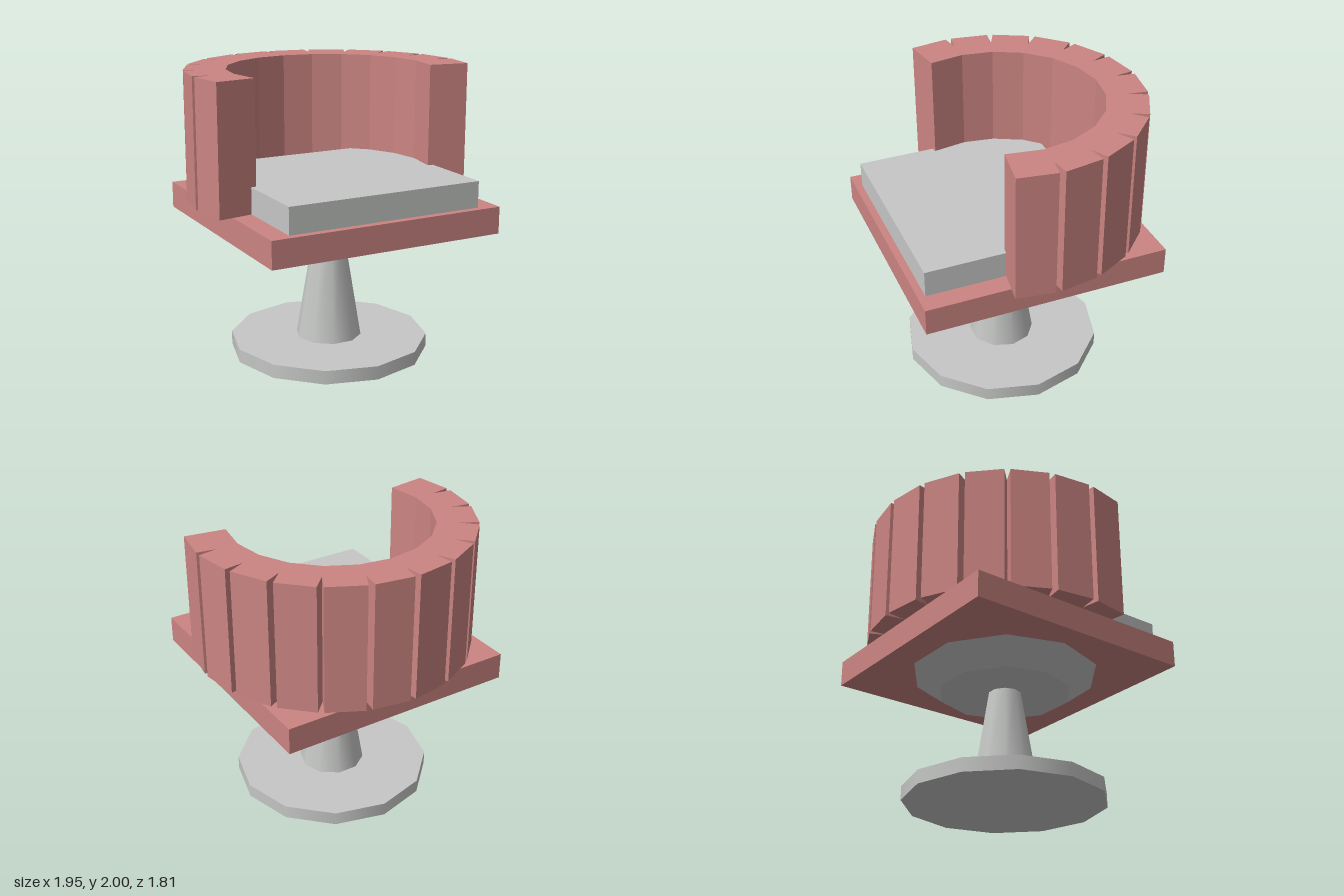
import * as THREE from 'three';

const AXIS_Z = 0.067; // centre line of the pedestal and the backrest ring

export function createModel() {
  const group = new THREE.Group();
  const red = new THREE.MeshStandardMaterial({ color: 0xcb8582 });
  red.name = 'dusty red upholstery';
  const grey = new THREE.MeshStandardMaterial({ color: 0xc5c7c5 });
  grey.name = 'light grey';

  const add = (name, geometry, material, x, y, z, parent = group) => {
    const mesh = new THREE.Mesh(geometry, material);
    mesh.name = name;
    mesh.position.set(x, y, z);
    parent.add(mesh);
    return mesh;
  };

  // Tapered round part between two heights, with corners on the x axis
  const round = (name, rTop, rBottom, y0, y1, sides) => {
    const geometry = new THREE.CylinderGeometry(rTop, rBottom, y1 - y0, sides);
    geometry.rotateY(Math.PI / 2);
    return add(name, geometry, grey, 0, (y0 + y1) / 2, AXIS_Z);
  };

  // Pedestal
  round('footDisc', 0.695, 0.695, 0, 0.095, 12);
  round('stem', 0.115, 0.23, 0.095, 0.795, 10);
  round('seatDish', 0.655, 0.465, 0.795, 0.935, 10);

  // Seat
  add('seatSlab', new THREE.BoxGeometry(1.67, 0.185, 1.675), red, 0, 1.0275, 0.0675);
  add('seatCushion', new THREE.BoxGeometry(1.39, 0.18, 1.3), grey, 0, 1.21, 0.205);

  // Backrest: upright pads fanned around the seat, overlapping on the inside
  const backrest = new THREE.Group();
  backrest.name = 'backrest';
  backrest.position.z = AXIS_Z;
  group.add(backrest);
  const pad = new THREE.BoxGeometry(0.264, 0.88, 0.28);
  for (let i = 0; i < 12; i++) {
    const angle = THREE.MathUtils.degToRad(-99 + 18 * i);
    const mesh = add('backrestPad', pad, red, Math.sin(angle) * 0.826, 1.56, -Math.cos(angle) * 0.826, backrest);
    mesh.rotation.y = -angle;
  }

  return group;
}
